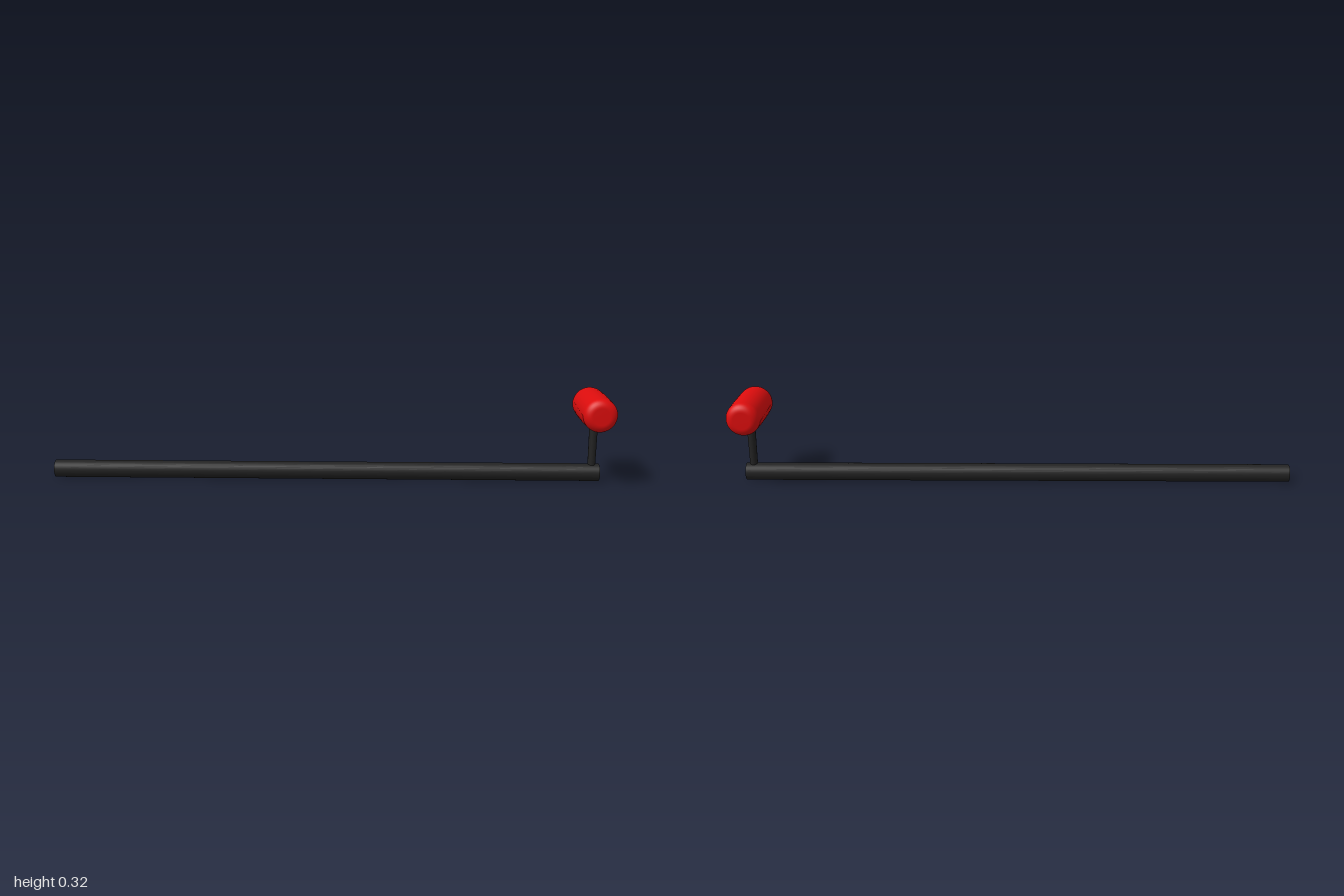
import * as THREE from 'three';

export function createModel() {
  const group = new THREE.Group();
  const black = new THREE.MeshStandardMaterial({ color: 0x222222 });
  black.name = 'black';
  const red = new THREE.MeshStandardMaterial({ color: 0xdd0d0d });
  red.name = 'red';

  const add = (name, geometry, material, x, y) => {
    const mesh = new THREE.Mesh(geometry, material);
    mesh.name = name;
    mesh.position.set(x, y, 0);
    group.add(mesh);
    return mesh;
  };

  // Long horizontal shaft
  const rod = add('shaft', new THREE.CylinderGeometry(0.0315, 0.0315, 1.965, 32), black, -0.0175, 0.0315);
  rod.rotation.z = -Math.PI / 2;

  // Short post, slightly wider at the top
  add('post', new THREE.CylinderGeometry(0.0152, 0.0135, 0.19, 24), black, 0.9385, 0.135);

  // Grip: a barrel lying along z with rounded rims
  const half = 0.126, radius = 0.0615, rim = 0.03;
  const profile = [new THREE.Vector2(0, -half)];
  for (let i = 0; i <= 8; i++) {
    const a = (i / 8) * Math.PI / 2;
    profile.push(new THREE.Vector2(radius - 0.0015 - rim + rim * Math.sin(a), -half + rim - rim * Math.cos(a)));
  }
  profile.push(new THREE.Vector2(radius, -0.04));
  const mirrored = profile.map((p) => new THREE.Vector2(p.x, -p.y)).reverse();
  const grip = add('grip', new THREE.LatheGeometry([...profile, ...mirrored], 40), red, 0.9385, 0.2635);
  grip.rotation.x = Math.PI / 2;

  return group;
}
